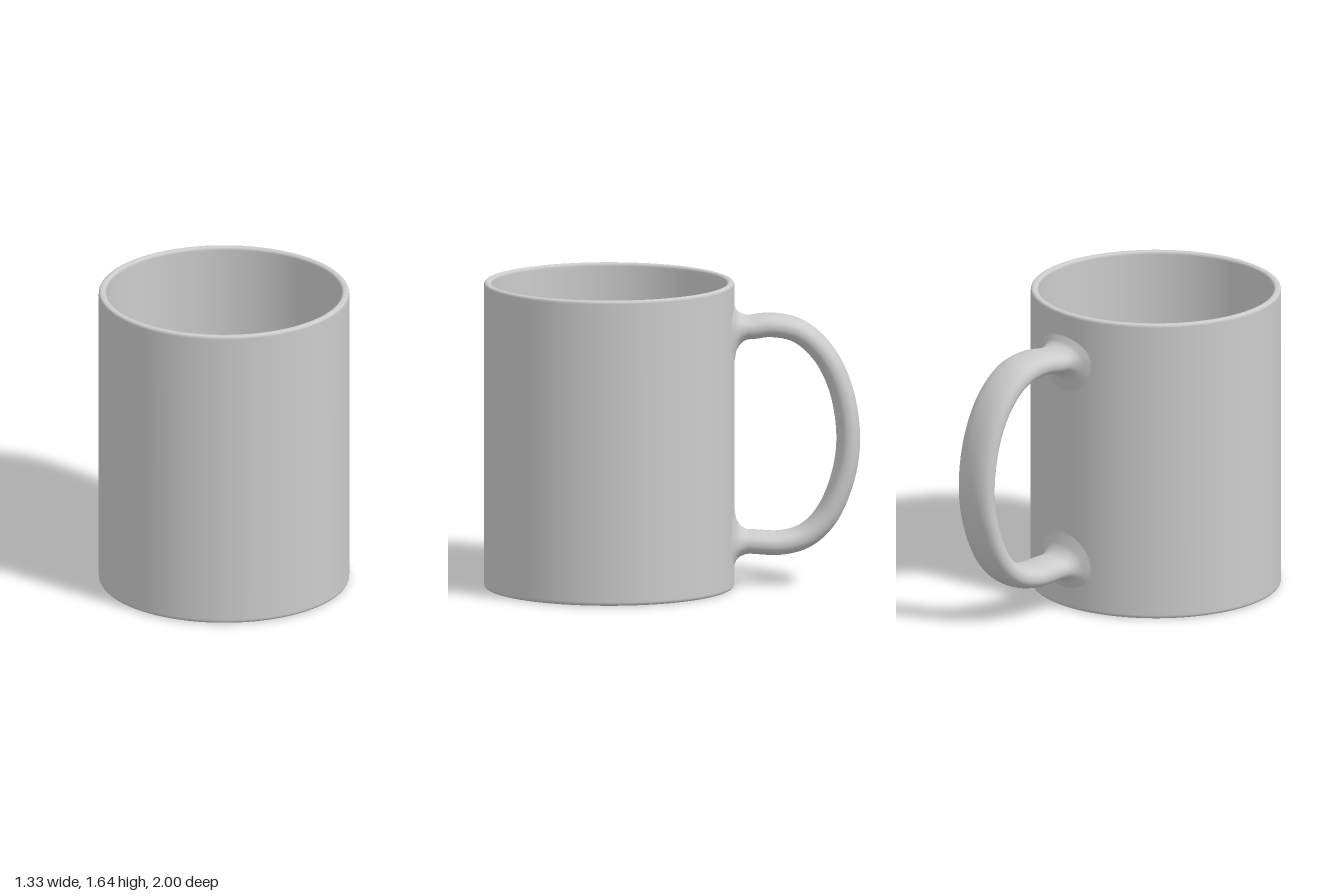
import * as THREE from 'three';

const R = 0.665, H = 1.64, ZC = 0.335;      // cup radius, height, axis position
const material = new THREE.MeshStandardMaterial({ color: 0xcccccc });

// Polyline with its corners rounded; corners are [r, y, radius]
function roundedProfile(corners) {
  const v = corners.map(([x, y]) => new THREE.Vector2(x, y));
  const out = [];
  corners.forEach(([, , rad], i) => {
    if (!rad) { out.push(v[i]); return; }
    const toward = (j) => v[j].clone().sub(v[i]).setLength(rad).add(v[i]);
    const bend = new THREE.QuadraticBezierCurve(toward(i - 1), v[i], toward(i + 1));
    out.push(...bend.getPoints(7));
  });
  return out;
}

function makeCup() {
  const profile = roundedProfile([
    [0, 0.03, 0], [0.595, 0.03, 0.02], [0.62, 0, 0.015], [R, 0, 0.022],
    [R, H, 0.018], [0.626, H, 0.018], [0.626, 0.065, 0.05], [0, 0.065, 0],
  ]);
  const cup = new THREE.Mesh(new THREE.LatheGeometry(profile, 128), material);
  cup.name = 'cup';
  cup.position.z = ZC;
  return cup;
}

function makeHandle() {
  const SIDES = 40, STEPS = 90, FILLET = 8;
  const halfW = 0.12, halfT = 0.0625, depth = 0.08;
  const path = new THREE.CatmullRomCurve3([
    [1.388, -0.42], [1.398, -0.53], [1.365, -0.67], [1.25, -0.8], [1.06, -0.895],
    [0.8, -0.9375], [0.58, -0.91], [0.37, -0.82], [0.265, -0.71], [0.228, -0.58], [0.235, -0.42],
  ].map(([y, z]) => new THREE.Vector3(0, y, z)), false, 'centripetal');
  const rings = [];
  const power = (c) => Math.sign(c) * Math.abs(c) ** 0.88;   // slightly squared oval
  const ring = (place) => rings.push(Array.from({ length: SIDES }, (_, i) => {
    const a = (i / SIDES) * Math.PI * 2;
    return place(power(Math.cos(a)), power(Math.sin(a)), Math.cos(a), Math.sin(a));
  }));

  // Flared root that follows the curved wall; up = 1 for the top root, -1 for the bottom
  const root = (y, up, k) => {
    const a = (k / FILLET) * Math.PI / 2;
    const d = depth * Math.sin(a) - 0.004, grow = 1 - Math.sin(Math.acos(1 - k / FILLET));
    const spread = 1 - Math.sqrt(Math.max(0, 1 - (1 - (d + 0.004) / depth) ** 2));
    ring((c, s, cc, ss) => {
      const x = c * halfW + cc * 0.09 * spread;
      const n = s * halfT + ss * (ss > 0 ? 0.07 : 0.14) * (0.8 * spread + 0.2 * grow);
      return [x, y + up * n, ZC - Math.sqrt(R * R - x * x) - d];
    });
  };
  for (let k = 0; k <= FILLET; k++) root(1.388, 1, k);
  for (let j = 0; j <= STEPS; j++) {
    const p = path.getPointAt(j / STEPS), t = path.getTangentAt(j / STEPS);
    ring((c, s) => [c * halfW, p.y - t.z * s * halfT, p.z + t.y * s * halfT]);
  }
  for (let k = FILLET; k >= 0; k--) root(0.235, -1, k);

  const index = [];
  for (let j = 0; j < rings.length - 1; j++) {
    for (let i = 0; i < SIDES; i++) {
      const a = j * SIDES + i, b = j * SIDES + (i + 1) % SIDES;
      index.push(a, a + SIDES, b, b, a + SIDES, b + SIDES);
    }
  }
  const geometry = new THREE.BufferGeometry();
  geometry.setAttribute('position', new THREE.Float32BufferAttribute(rings.flat(2), 3));
  geometry.setIndex(index);
  geometry.computeVertexNormals();
  const handle = new THREE.Mesh(geometry, material);
  handle.name = 'handle';
  return handle;
}

export function createModel() {
  const mug = new THREE.Group();
  mug.name = 'mug';
  mug.add(makeCup(), makeHandle());
  return mug;
}
